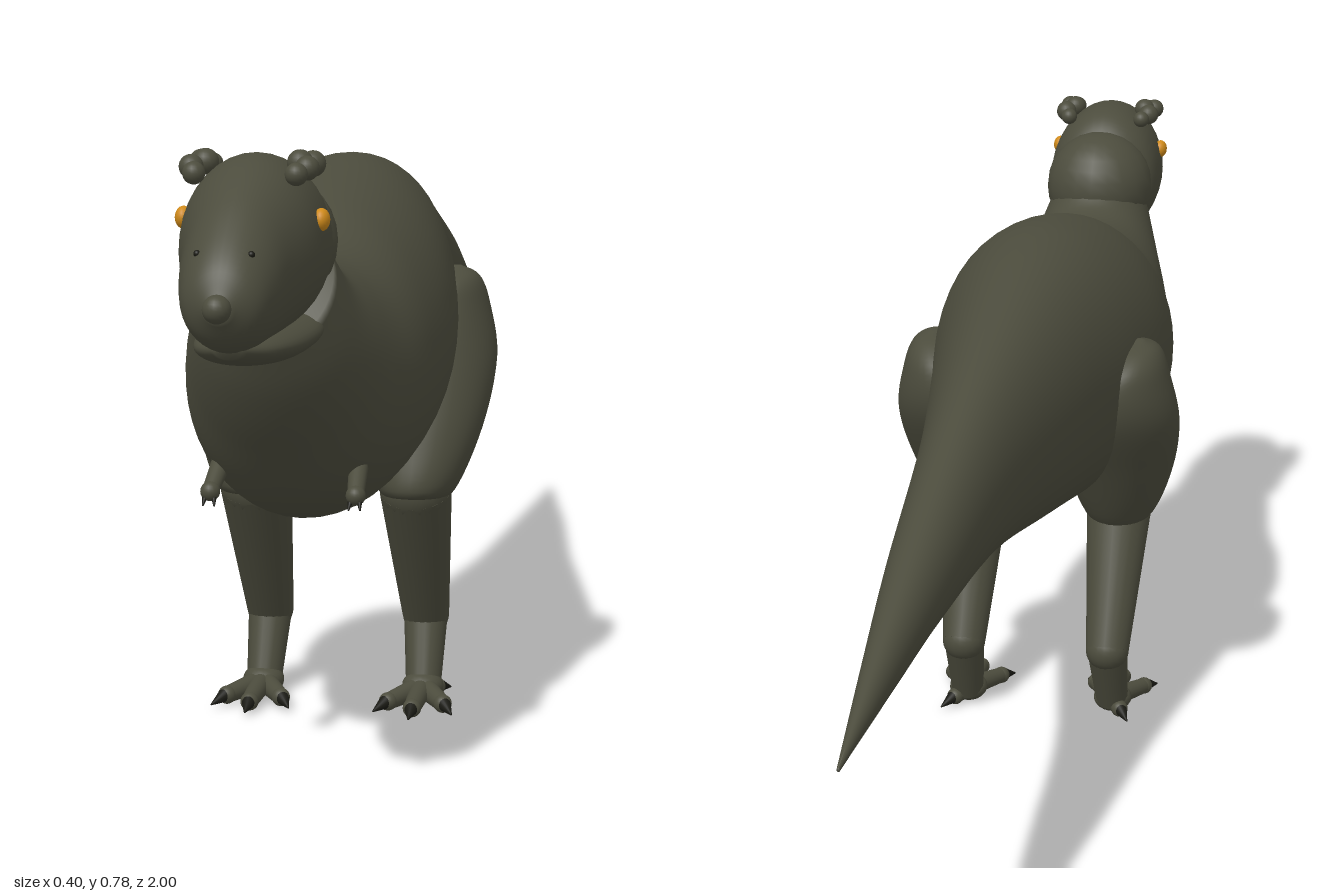
import * as THREE from 'three';

const hide = new THREE.MeshStandardMaterial({ color: 0x4c4c3d });
hide.name = 'olive hide';
const amber = new THREE.MeshStandardMaterial({ color: 0xcf8a1a });
amber.name = 'amber eye';
const dark = new THREE.MeshStandardMaterial({ color: 0x1a1a14 });
dark.name = 'dark claw';

const V = (x, y, z) => new THREE.Vector3(x, y, z);

function mesh(name, geometry, material, parent) {
  const m = new THREE.Mesh(geometry, material);
  m.name = name;
  parent.add(m);
  return m;
}

// Smooth loft through elliptical rings: [z1, y1, z2, y2, halfWidth, centreX],
// where (z1,y1) and (z2,y2) are the two ends of each ring in side view.
function loft(stations, steps = 6, sides = 36) {
  const a = new THREE.CatmullRomCurve3(stations.map(s => V(s[5] || 0, s[1], s[0])), false, 'catmullrom');
  const b = new THREE.CatmullRomCurve3(stations.map(s => V(s[4], s[3], s[2])), false, 'catmullrom');
  const rings = (stations.length - 1) * steps;
  const pos = [], index = [];
  for (let i = 0; i <= rings; i++) {
    const p = a.getPoint(i / rings), q = b.getPoint(i / rings);
    for (let j = 0; j < sides; j++) {
      const t = (j / sides) * Math.PI * 2, k = Math.cos(t) / 2;
      pos.push(p.x + q.x * Math.sin(t),
        (p.y + q.y) / 2 + (p.y - q.y) * k,
        (p.z + q.z) / 2 + (p.z - q.z) * k);
    }
  }
  for (let i = 0; i < rings; i++) {
    for (let j = 0; j < sides; j++) {
      const n = (j + 1) % sides, r = i * sides, s = r + sides;
      index.push(r + j, s + j, r + n, r + n, s + j, s + n);
    }
  }
  // end caps
  const last = rings * sides;
  for (let j = 1; j < sides - 1; j++) {
    index.push(0, j, j + 1, last, last + j + 1, last + j);
  }
  const g = new THREE.BufferGeometry();
  g.setAttribute('position', new THREE.Float32BufferAttribute(pos, 3));
  g.setIndex(index);
  g.computeVertexNormals();
  return g;
}

function ball(name, p, r, material, parent, scale = [1, 1, 1]) {
  const m = mesh(name, new THREE.SphereGeometry(r, 20, 14), material, parent);
  m.position.copy(p);
  m.scale.set(...scale);
  return m;
}

// Tapered limb segment from p to q
function limb(name, p, q, r0, r1, material, parent) {
  const d = q.clone().sub(p);
  const m = mesh(name, new THREE.CylinderGeometry(r1, r0, d.length(), 20), material, parent);
  m.position.copy(p).addScaledVector(d, 0.5);
  m.quaternion.setFromUnitVectors(V(0, 1, 0), d.normalize());
  return m;
}

function addHead(parent) {
  const head = new THREE.Group();
  head.name = 'head';
  parent.add(head);
  mesh('skull', loft([
    [.69, .70, .72, .60, .05], [.70, .74, .725, .575, .074], [.74, .767, .75, .565, .083],
    [.81, .767, .81, .563, .08], [.88, .735, .87, .56, .064], [.93, .70, .92, .563, .055],
    [.965, .665, .955, .575, .042], [.982, .63, .98, .605, .014],
  ]), hide, head);
  mesh('lowerJaw', loft([
    [.66, .60, .70, .55, .05], [.72, .59, .72, .54, .069], [.80, .585, .80, .535, .064],
    [.88, .58, .88, .544, .047], [.93, .575, .925, .557, .015],
  ]), hide, head);
  ball('headBack', V(0, .662, .692), .08, hide, head);
  ball('noseTip', V(0, .62, .984), .016, hide, head);
  for (const s of [-1, 1]) {
    ball('eye', V(s * .079, .698, .79), .013, amber, head, [.75, 1, 1]);
    ball('nostril', V(s * .03, .675, .943), .004, dark, head);
    // knobbly brow crest
    [[.058, .752, .83, .013], [.066, .757, .807, .014], [.054, .761, .785, .015],
      [.064, .758, .76, .015], [.056, .755, .738, .012]].forEach(([x, y, z, r]) =>
      ball('browKnob', V(s * x, y, z), r, hide, head));
  }
}

function addLeg(s, parent) {
  const leg = new THREE.Group();
  leg.name = s > 0 ? 'leftLeg' : 'rightLeg';
  parent.add(leg);
  mesh('thigh', loft([
    [.175, .576, .165, .576, .006, s * .145], [.222, .56, .118, .562, .038, s * .137],
    [.25, .52, .087, .53, .066, s * .122], [.28, .44, .09, .47, .088, s * .112],
    [.305, .36, .14, .385, .077, s * .11], [.318, .30, .20, .29, .05, s * .106],
    [.295, .285, .23, .275, .02, s * .105],
  ]), hide, leg);
  const knee = V(s * .105, .295, .258), ankle = V(s * .105, .11, .165), foot = V(s * .107, .02, .2);
  limb('shin', knee, ankle, .047, .031, hide, leg);
  ball('knee', knee, .047, hide, leg);
  ball('ankle', ankle, .031, hide, leg);
  limb('lowerLeg', ankle, foot, .029, .023, hide, leg);
  ball('footPad', V(s * .107, .021, .205), .025, hide, leg, [1.1, .8, 1.1]);
  // three front toes and a small rear toe, each with a claw
  for (const [angle, length] of [[-.5, .075], [0, .095], [.5, .075], [Math.PI - .5 * s, .03]]) {
    const dir = V(Math.sin(angle), 0, Math.cos(angle));
    const root = V(s * .107, .02, .205);
    const tip = root.clone().addScaledVector(dir, length).setY(.014);
    limb('toe', root, tip, .015, .011, hide, leg);
    ball('toeTip', tip, .012, hide, leg);
    const end = tip.clone().addScaledVector(dir, .032).setY(.007);
    limb('claw', tip.clone().addScaledVector(dir, .006), end, .009, .001, dark, leg);
  }
}

function addArm(s, parent) {
  const arm = new THREE.Group();
  arm.name = s > 0 ? 'leftArm' : 'rightArm';
  parent.add(arm);
  const shoulder = V(s * .084, .378, .575), hand = V(s * .088, .352, .618);
  limb('forearm', shoulder, hand, .012, .01, hide, arm);
  ball('hand', hand, .012, hide, arm);
  for (const k of [-1, 1]) {
    const p = hand.clone().add(V(k * .005, -.004, .003));
    limb('armClaw', p, p.clone().add(V(k * .002, -.012, .008)), .004, .001, dark, arm);
  }
}

export function createModel() {
  const model = new THREE.Group();
  model.name = 'dinosaur';
  // tail, trunk and neck as one smooth form
  mesh('body', loft([
    [-1, .426, -1, .421, .002], [-.8, .488, -.8, .427, .022], [-.6, .55, -.6, .43, .041],
    [-.3, .635, -.3, .41, .067], [0, .70, 0, .355, .115], [.17, .72, .17, .325, .147],
    [.30, .71, .32, .30, .163], [.42, .685, .46, .293, .154], [.50, .65, .58, .328, .134],
    [.55, .64, .665, .41, .115], [.60, .648, .72, .48, .096], [.645, .69, .755, .545, .076],
  ], 6, 48), hide, model);
  addHead(model);
  for (const s of [-1, 1]) {
    addLeg(s, model);
    addArm(s, model);
  }
  return model;
}
